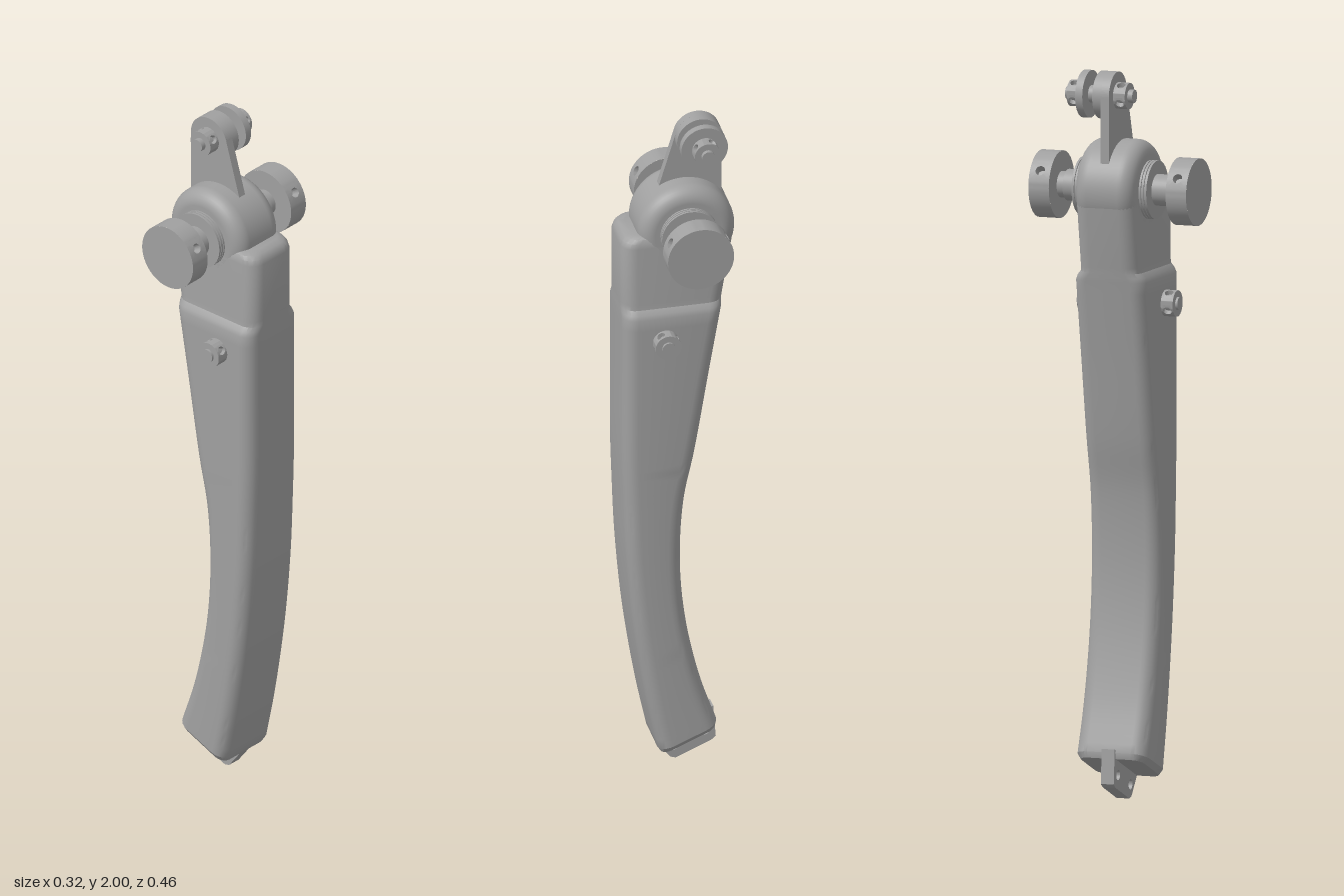
import * as THREE from 'three';
import { mergeGeometries, toCreasedNormals } from 'three/addons/utils/BufferGeometryUtils.js';
import { ParametricGeometry } from 'three/addons/geometries/ParametricGeometry.js';

const metal = new THREE.MeshStandardMaterial({ color: 0xa0a0a0 });
metal.name = 'grey metal';
const RAD = Math.PI / 180;
const PIVOT = [-0.026, 1.677], EYE = [-0.07, 1.936], SCREW = [0.043, 1.358];

function add(parent, name, geo, x = 0, y = 0, z = 0) {
  const m = new THREE.Mesh(geo, metal);
  m.name = name;
  m.position.set(x, y, z);
  parent.add(m);
}

// Plain cylinder lying along z, from z0 to z1
function rod(parent, name, [x, y], r, z0, z1) {
  const g = new THREE.CylinderGeometry(r, r, Math.abs(z1 - z0), 40).rotateX(Math.PI / 2);
  add(parent, name, g, x, y, (z0 + z1) / 2);
}

// Disc along z with blind holes drilled into its rim; angles run clockwise from the top
function drilledDisc(r, w, holeR, depth, degrees) {
  const put = (a, z, rad, p) => p.set(rad * Math.sin(a), rad * Math.cos(a), z);
  const h = w / 2, half = h / r, parts = [];
  degrees.forEach((deg, i) => {
    const a0 = deg * RAD;
    // square patch of rim: hole floor, hole wall, then out to the square edge
    parts.push(new ParametricGeometry((u, v, p) => {
      const c = Math.cos(-2 * Math.PI * u), s = Math.sin(-2 * Math.PI * u);
      const row = Math.round(v * 4), edge = h / Math.max(Math.abs(c), Math.abs(s));
      const d = [0.0001, holeR, holeR, (holeR + edge) / 2, edge][row];
      put(a0 + d * c / r, -d * s, row < 2 ? r - depth : r, p);
    }, 32, 4));
    // plain rim up to the next hole
    const next = i + 1 < degrees.length ? degrees[i + 1] : degrees[0] + 360;
    const a1 = a0 + half, a2 = next * RAD - half;
    parts.push(new ParametricGeometry((u, v, p) => put(a1 + (a2 - a1) * u, h - w * v, r, p), 14, 1));
  });
  parts.push(new THREE.CircleGeometry(r, 48).translate(0, 0, h));
  parts.push(new THREE.CircleGeometry(r, 48).rotateY(Math.PI).translate(0, 0, -h));
  return toCreasedNormals(mergeGeometries(parts), 0.5);
}

// Rounded-rectangle cross-section spanning from L to R, half depth d
function section(L, R, d, rad) {
  const dir = R.clone().sub(L), len = dir.length(), mid = L.clone().add(R).multiplyScalar(0.5);
  dir.normalize();
  const pts = [];
  for (let q = 0; q < 4; q++) {
    const sx = q === 0 || q === 3 ? 1 : -1, sz = q < 2 ? 1 : -1;
    for (let k = 0; k <= 6; k++) {
      const a = (q + k / 6) * Math.PI / 2;
      const x = sx * (len / 2 - rad) + rad * Math.cos(a);
      pts.push(new THREE.Vector3(0, 0, sz * (d - rad) + rad * Math.sin(a)).add(mid).addScaledVector(dir, x));
    }
  }
  return pts;
}

// Skin over a stack of sections, closed at both ends
function loft(rings) {
  const n = rings[0].length, pos = [], idx = [];
  rings.forEach(r => r.forEach(p => pos.push(p.x, p.y, p.z)));
  for (let i = 0; i < rings.length - 1; i++)
    for (let j = 0; j < n; j++) {
      const a = i * n + j, b = i * n + (j + 1) % n;
      idx.push(a, a + n, b, b, a + n, b + n);
    }
  const top = (rings.length - 1) * n;
  for (let j = 1; j < n - 1; j++) {
    idx.push(0, j, j + 1);
    idx.push(top, top + j + 1, top + j);
  }
  const g = new THREE.BufferGeometry();
  g.setAttribute('position', new THREE.Float32BufferAttribute(pos, 3));
  g.setIndex(idx);
  return toCreasedNormals(g, 0.5);
}

function handleGeometry() {
  // left x, left y, right x, right y of the curved grip
  const st = [
    [-0.11, 0.13, 0.055, 0.06], [-0.06, 0.28, 0.09, 0.23], [-0.02, 0.47, 0.125, 0.46],
    [-0.005, 0.65, 0.145, 0.68], [-0.015, 0.84, 0.153, 0.86], [-0.045, 0.99, 0.157, 1.0],
    [-0.085, 1.23, 0.157, 1.23], [-0.119, 1.43, 0.157, 1.43],
  ];
  const V = (x, y) => new THREE.Vector3(x, y, 0);
  const left = new THREE.CatmullRomCurve3(st.map(s => V(s[0], s[1])));
  const right = new THREE.CatmullRomCurve3(st.map(s => V(s[2], s[3])));
  const rings = [section(V(-0.104, 0.123), V(0.049, 0.058), 0.092, 0.03)];
  for (let i = 0; i <= 42; i++) {
    const t = 0.01 + 0.99 * i / 42;
    rings.push(section(left.getPoint(t), right.getPoint(t), 0.104, 0.04));
  }
  // shallow step to the slimmer upper part, then the rounded shoulder
  [[-0.122, 1.443, 0.157, 0.099], [-0.124, 1.455, 0.157, 0.089], [-0.127, 1.47, 0.157, 0.087],
    [-0.156, 1.645, 0.157, 0.087], [-0.158, 1.66, 0.152, 0.085], [-0.159, 1.67, 0.143, 0.08],
    [-0.159, 1.676, 0.128, 0.07]]
    .forEach(([l, y, r, d]) => rings.push(section(V(l, y), V(r, y), d, 0.042)));
  return loft(rings);
}

// Round head with softened rims
function headGeometry() {
  const R = 0.135, d = 0.087, c = 0.042, pts = [new THREE.Vector2(0, -d)];
  for (let s = -1; s <= 1; s += 2)
    for (let k = 0; k <= 8; k++) {
      const a = (s < 0 ? k / 8 - 1 : k / 8) * Math.PI / 2;
      pts.push(new THREE.Vector2(R - c + c * Math.cos(a), s * (d - c) + c * Math.sin(a)));
    }
  pts.push(new THREE.Vector2(0, d));
  return new THREE.LatheGeometry(pts, 56).rotateX(Math.PI / 2);
}

function plate(shape, depth) {
  return new THREE.ExtrudeGeometry(shape, { depth, bevelEnabled: false, curveSegments: 24 })
    .translate(0, 0, -depth / 2);
}

export function createModel() {
  const model = new THREE.Group();
  model.name = 'lever';

  add(model, 'grip', handleGeometry());
  add(model, 'head', headGeometry(), ...PIVOT);

  // Upper lug rising from the head
  const lug = new THREE.Shape();
  lug.moveTo(-0.135, 1.7);
  lug.lineTo(0.068, 1.7);
  lug.lineTo(-0.009, 1.958);
  lug.absarc(EYE[0], EYE[1], 0.065, 0.35, Math.PI, false);
  lug.closePath();
  add(model, 'upperLug', plate(lug, 0.024));

  // Lower tab with two holes
  const tab = new THREE.Shape([[-0.11, 0.15], [-0.117, 0.055], [-0.105, 0.045], [-0.005, 0.002],
    [0.01, 0.007], [0.05, 0.06], [0.04, 0.11]].map(p => new THREE.Vector2(...p)));
  for (const [x, y] of [[-0.085, 0.077], [0.003, 0.04]])
    tab.holes.push(new THREE.Path().absarc(x, y, 0.014, 0, Math.PI * 2, true));
  add(model, 'lowerTab', plate(tab, 0.038));

  // Eye bosses and their bolt
  rod(model, 'eyeBoss', EYE, 0.065, -0.037, 0.011);
  rod(model, 'outerEyeDisc', EYE, 0.065, -0.087, -0.066);
  rod(model, 'eyeSpacer', EYE, 0.024, -0.09, -0.03);
  rod(model, 'eyeBolt', EYE, 0.018, -0.136, 0.061);

  // Cross-drilled nuts
  const quarter = [-30, 60, 150, 240];
  const nut = (name, at, z, angles) =>
    add(model, name, drilledDisc(0.036, 0.035, 0.012, 0.012, angles), at[0], at[1], z);
  nut('eyeNutFront', EYE, 0.029, quarter);
  nut('eyeNutBack', EYE, -0.107, quarter);
  nut('gripNutFront', SCREW, 0.123, quarter);
  nut('gripNutBack', SCREW, -0.123, [-60, 30, 120, 210]);
  rod(model, 'gripBolt', SCREW, 0.018, -0.147, 0.147);

  // Pivot axle, washers and knobs on both sides
  for (const s of [-1, 1]) {
    for (let i = 0; i < 3; i++)
      rod(model, 'washer', PIVOT, 0.08, s * (0.086 + i * 0.0085), s * (0.0925 + i * 0.0085));
    rod(model, 'washerCore', PIVOT, 0.075, s * 0.08, s * 0.108);
    rod(model, 'axleCollar', PIVOT, 0.043, s * 0.1, s * 0.151);
    rod(model, 'axleNeck', PIVOT, 0.036, s * 0.15, s * 0.172);
    add(model, 'knob', drilledDisc(0.092, 0.06, 0.0135, 0.025, [-60, 60, 180]), ...PIVOT, s * 0.201);
  }
  return model;
}
